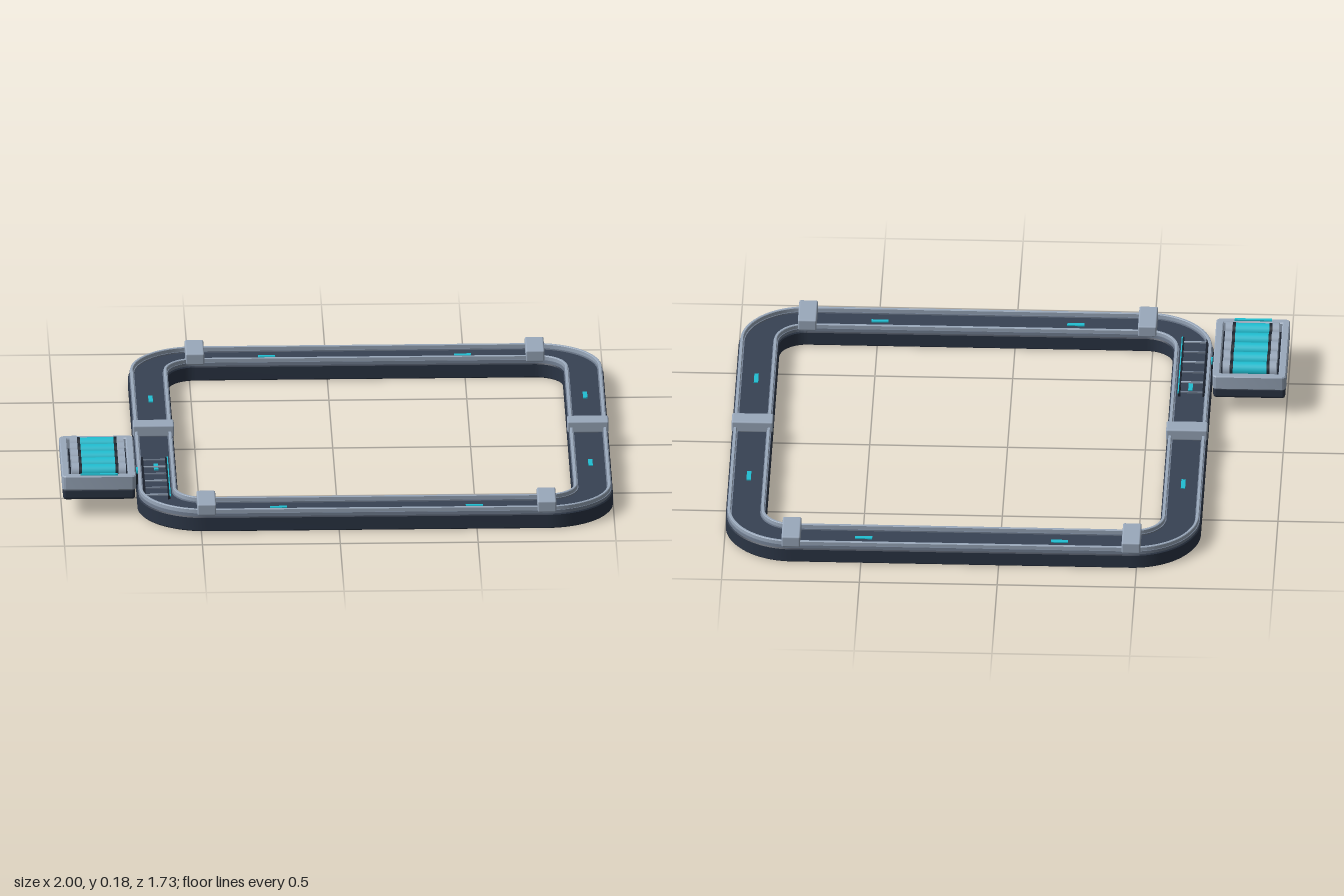
import * as THREE from 'three';
import { toCreasedNormals } from 'three/addons/utils/BufferGeometryUtils.js';
import { RoundedBoxGeometry } from 'three/addons/geometries/RoundedBoxGeometry.js';

const mat = (name, color) => Object.assign(new THREE.MeshStandardMaterial({ color }), { name });

export function createModel() {
  const M = {
    base: mat('dark navy', 0x2b3545),
    belt: mat('slate belt', 0x374254),
    metal: mat('pale steel', 0x9aa9bc),
    trim: mat('mid steel', 0x738093),
    black: mat('near black', 0x1b222d),
    cyan: mat('cyan glow', 0x20bfd2),
  };
  const model = new THREE.Group();
  model.name = 'conveyorLoop';

  function add(parent, name, geo, material, x = 0, y = 0, z = 0) {
    const m = new THREE.Mesh(geo, material);
    m.name = name;
    m.position.set(x, y, z);
    parent.add(m);
    return m;
  }
  const box = (p, name, w, h, d, material, x, y, z) =>
    add(p, name, new THREE.BoxGeometry(w, h, d), material, x, y, z);
  const rbox = (p, name, w, h, d, r, material, x, y, z) =>
    add(p, name, new RoundedBoxGeometry(w, h, d, 2, r), material, x, y, z);

  // Rounded rectangle outline with half sizes a, b and corner radius r
  function outline(T, a, b, r) {
    const s = new T();
    s.moveTo(a, -b + r);
    s.absarc(a - r, b - r, r, 0, Math.PI / 2);
    s.absarc(-a + r, b - r, r, Math.PI / 2, Math.PI);
    s.absarc(-a + r, -b + r, r, Math.PI, Math.PI * 1.5);
    s.absarc(a - r, -b + r, r, Math.PI * 1.5, Math.PI * 2);
    s.closePath();
    return s;
  }
  // Flat frame between two outlines, lying from y = 0 to y = h
  function frame(a, b, r, width, h, bevel = 0) {
    const s = outline(THREE.Shape, a - bevel, b - bevel, r - bevel);
    const w = width - bevel;
    s.holes.push(outline(THREE.Path, a - w, b - w, Math.max(r - w, 0.004)));
    const g = new THREE.ExtrudeGeometry(s, {
      depth: h - 2 * bevel, curveSegments: 14, bevelEnabled: bevel > 0,
      bevelSize: bevel, bevelThickness: bevel, bevelSegments: 1,
    });
    g.rotateX(-Math.PI / 2).translate(0, bevel, 0);
    return toCreasedNormals(g, 0.5);
  }

  // Conveyor ring
  const loop = new THREE.Group();
  loop.name = 'loop';
  loop.position.x = 0.137;
  model.add(loop);
  const ring = (name, half, width, y, h, material, bevel) =>
    add(loop, name, frame(half, half, half - 0.615, width, h, bevel), material, 0, y, 0);
  ring('baseRing', 0.862, 0.147, 0, 0.056, M.base, 0.004);
  ring('belt', 0.845, 0.113, 0.056, 0.007, M.belt);
  ring('outerRailSeat', 0.858, 0.018, 0.054, 0.014, M.trim);
  ring('outerRail', 0.855, 0.011, 0.066, 0.017, M.metal, 0.002);
  ring('innerRailSeat', 0.737, 0.018, 0.054, 0.014, M.trim);
  ring('innerRail', 0.733, 0.011, 0.066, 0.017, M.metal, 0.002);

  // Joint clamps and belt markers
  for (const s of [-1, 1]) {
    for (const t of [-1, 1]) {
      rbox(loop, 'cornerClamp', 0.068, 0.044, 0.15, 0.006, M.metal, t * 0.617, 0.083, s * 0.788);
      box(loop, 'crossMarker', 0.062, 0.004, 0.016, M.cyan, t * 0.355, 0.065, s * 0.788);
      box(loop, 'sideMarker', 0.016, 0.004, 0.062, M.cyan, s * 0.788, 0.065, t * 0.355);
    }
    rbox(loop, 'sideClamp', 0.15, 0.044, 0.068, 0.006, M.metal, s * 0.788, 0.083, 0);
  }

  // Transfer grille over the belt beside the tray
  const grille = new THREE.Group();
  grille.name = 'transferGrille';
  model.add(grille);
  for (const x of [-0.7, -0.612])
    box(grille, 'grilleRail', 0.008, 0.012, 0.41, M.black, x, 0.07, 0.488);
  box(grille, 'grilleLight', 0.004, 0.004, 0.41, M.cyan, -0.608, 0.076, 0.488);
  for (let i = 0; i < 6; i++)
    box(grille, 'grilleRung', 0.084, 0.005, 0.006, i % 2 ? M.metal : M.trim, -0.656, 0.072, 0.3 + i * 0.073);

  // Side tray
  const tray = new THREE.Group();
  tray.name = 'tray';
  tray.position.set(-0.866, 0, 0.484);
  model.add(tray);
  rbox(tray, 'trayBase', 0.262, 0.045, 0.416, 0.012, M.base, 0, 0.086, 0);
  add(tray, 'trayRim', frame(0.134, 0.213, 0.016, 0.028, 0.055, 0.004), M.metal, 0, 0.102, 0);
  box(tray, 'trayFloor', 0.22, 0.012, 0.38, M.black, 0, 0.112, 0);
  box(tray, 'frontLight', 0.135, 0.005, 0.012, M.cyan, 0, 0.159, 0.2);
  box(tray, 'dockBracket', 0.03, 0.055, 0.05, M.black, 0.13, 0.066, 0);
  box(tray, 'dockLight', 0.006, 0.02, 0.036, M.cyan, 0.143, 0.096, 0);

  // Five cells lying across the tray
  const cyl = (name, r, len, material, x, z) =>
    add(tray, name, new THREE.CylinderGeometry(r, r, len, 24).rotateZ(Math.PI / 2), material, x, 0.149, z);
  for (let i = 0; i < 5; i++) {
    const z = (i - 2) * 0.07;
    cyl('cellCore', 0.027, 0.125, M.cyan, 0, z);
    for (const s of [-1, 1]) {
      cyl('cellCollar', 0.029, 0.012, M.black, s * 0.067, z);
      cyl('cellCap', 0.033, 0.026, M.metal, s * 0.085, z);
    }
    box(tray, 'cellCradle', 0.19, 0.02, 0.05, M.black, 0, 0.122, z);
  }
  return model;
}
